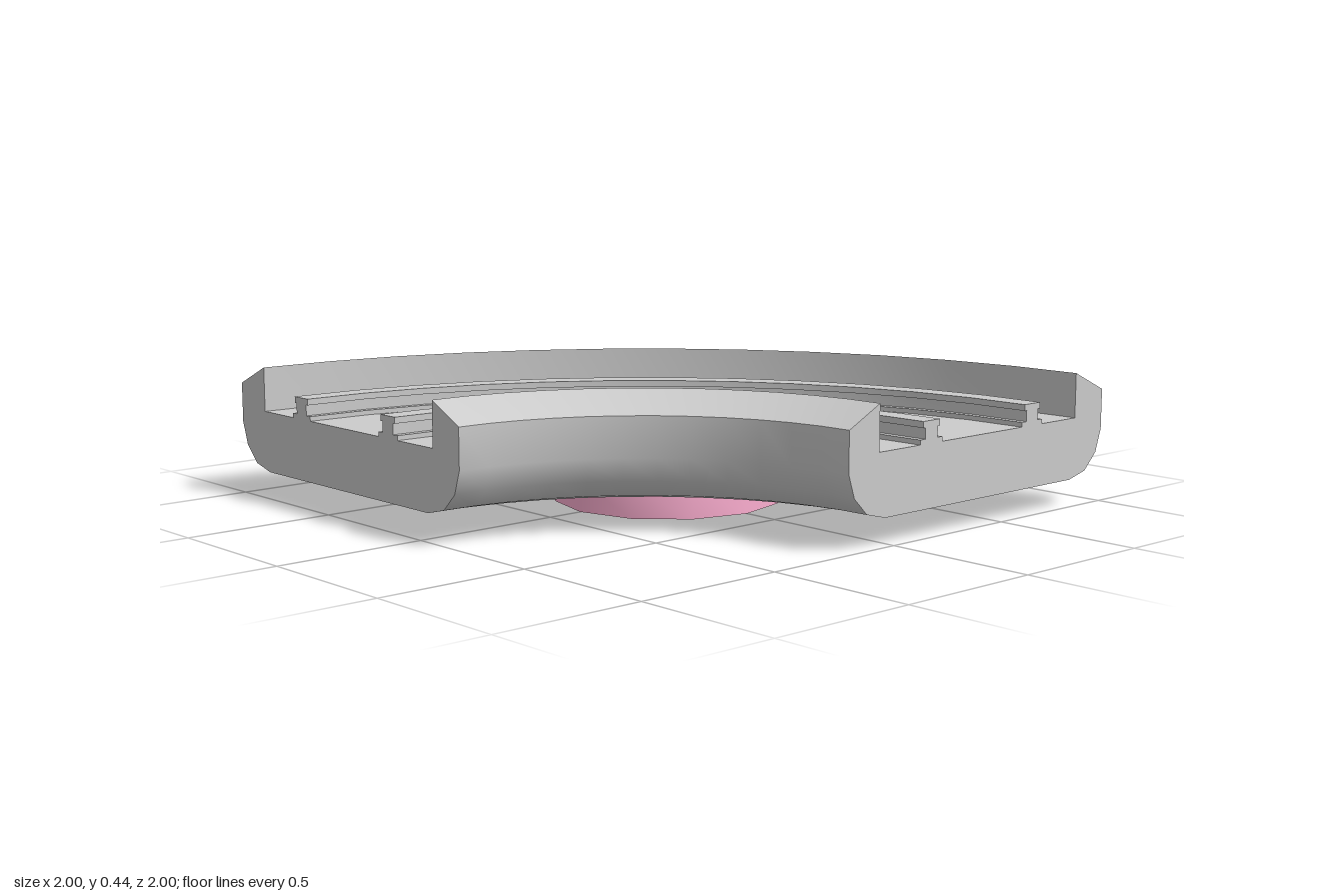
import * as THREE from 'three';
import { toCreasedNormals } from 'three/addons/utils/BufferGeometryUtils.js';

const SEGMENTS = 12;
const grey = new THREE.MeshStandardMaterial({ color: 0xcccccc, side: THREE.DoubleSide });
const pink = new THREE.MeshStandardMaterial({ color: 0xfcaed0 });
const blue = new THREE.MeshStandardMaterial({ color: 0x94b0f4 });

function addMesh(parent, name, geometry, material) {
  const mesh = new THREE.Mesh(geometry, material);
  mesh.name = name;
  parent.add(mesh);
  return mesh;
}

// Sweeps a closed (radius, height) section through a quarter turn and caps both ends.
function quarterSweep(name, section) {
  const group = new THREE.Group();
  group.name = name;
  const points = section.map(([r, y]) => new THREE.Vector2(r, y));
  const sweep = new THREE.LatheGeometry([...points, points[0]], SEGMENTS, Math.PI / 2, Math.PI / 2);
  addMesh(group, name + 'Sweep', toCreasedNormals(sweep, 0.6), grey);
  const cap = new THREE.ShapeGeometry(new THREE.Shape(points));
  addMesh(group, name + 'FrontEnd', cap, grey);
  addMesh(group, name + 'LeftEnd', cap, grey).rotation.y = Math.PI / 2;
  group.position.set(-1, 0, 1);
  return group;
}

// I-shaped rail section: wide foot, narrow web, head.
function railSection(r) {
  const half = [[0.05, 0.288], [0.05, 0.305], [0.028, 0.305], [0.028, 0.34], [0.0375, 0.34], [0.0375, 0.36]];
  return [
    ...half.map(([w, y]) => [r + w, y]),
    ...half.map(([w, y]) => [r - w, y]).reverse(),
  ];
}

export function createModel() {
  const model = new THREE.Group();
  model.name = 'curvedTrack';

  // Trough-shaped bed with rounded underside and chamfered side walls
  model.add(quarterSweep('trackBed', [
    [0.96, 0.09], [1.84, 0.09], [1.92, 0.11], [1.975, 0.165], [2, 0.24], [2, 0.37],
    [1.86, 0.435], [1.86, 0.29], [0.93, 0.29], [0.93, 0.435],
    [0.8, 0.37], [0.8, 0.24], [0.825, 0.165], [0.88, 0.11],
  ]));

  // Two curved rails
  model.add(quarterSweep('innerRail', railSection(1.16)));
  model.add(quarterSweep('outerRail', railSection(1.64)));

  // Ring foot under the bed
  const ring = new THREE.LatheGeometry(
    [[0.295, 0], [0.377, 0], [0.377, 0.1], [0.295, 0.1], [0.295, 0]].map(([r, y]) => new THREE.Vector2(r, y)), 12);
  addMesh(model, 'footRing', toCreasedNormals(ring, 0.6), pink);

  // Recessed disc inside the ring
  const disc = new THREE.CylinderGeometry(0.296, 0.296, 0.045, 12);
  addMesh(model, 'footDisc', disc, blue).position.y = 0.0775;

  return model;
}
